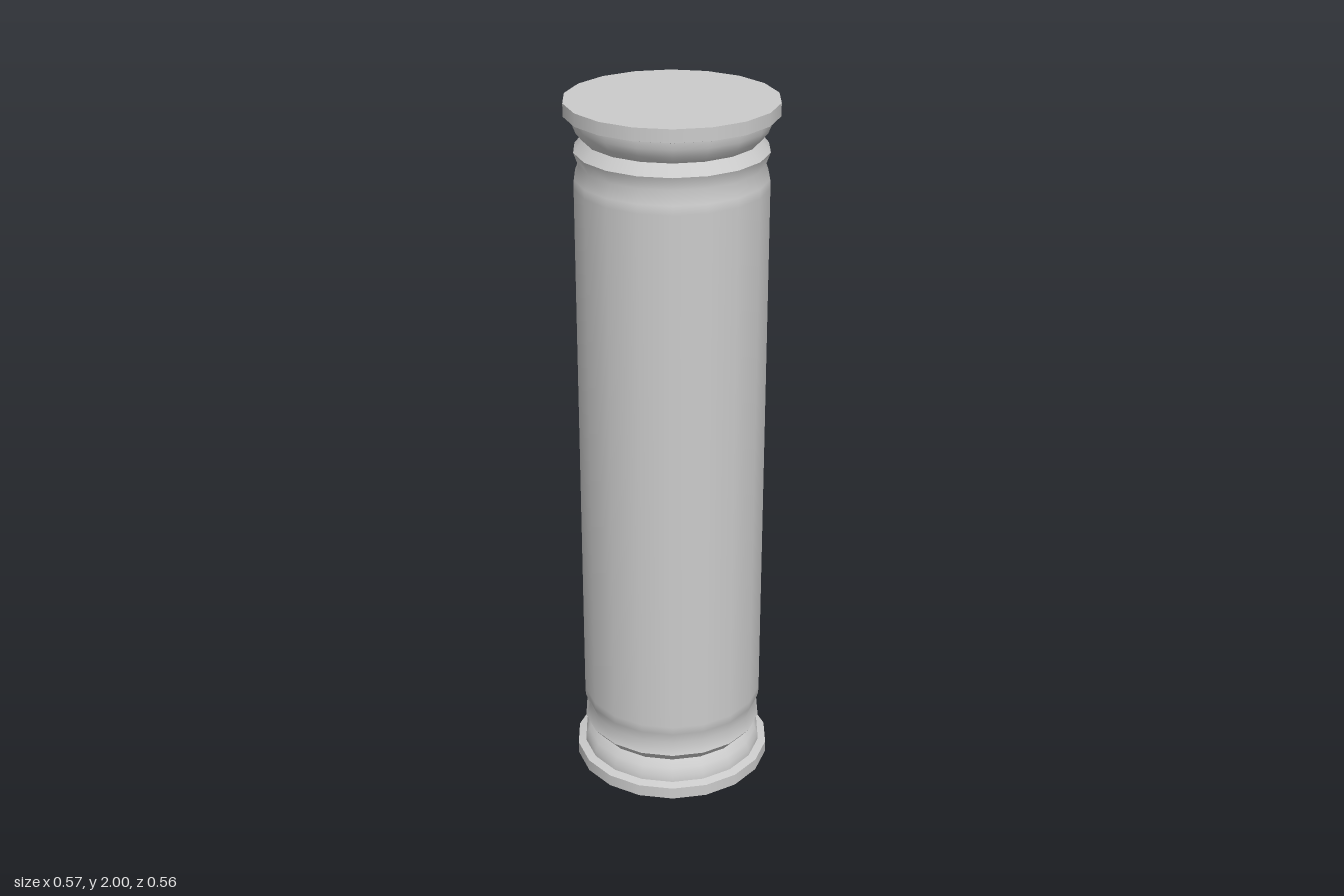
import * as THREE from 'three';

const SIDES = 18;
const START = THREE.MathUtils.degToRad(8);
const material = new THREE.MeshStandardMaterial({ color: 0xcccccc });

// One smooth-shaded turned band; profile is [radius, height], bottom to top.
function band(name, profile) {
  const points = profile.map(([r, y]) => new THREE.Vector2(r, y));
  const mesh = new THREE.Mesh(new THREE.LatheGeometry(points, SIDES, START), material);
  mesh.name = name;
  return mesh;
}

// Bands of the base moulding; every break between bands is a sharp edge.
const MOULDING = {
  EndFace: [[0, 0], [0.285, 0]],
  PlinthRim: [[0.285, 0], [0.285, 0.035]],
  PlinthShoulder: [[0.285, 0.035], [0.262, 0.042]],
  Cove: [[0.262, 0.042], [0.261, 0.06], [0.252, 0.082], [0.235, 0.102]],
  RingUnderside: [[0.235, 0.102], [0.26, 0.132]],
};

// Mirror a profile to the other end of the column, keeping it bottom to top.
const mirror = (profile) => profile.map(([r, y]) => [r, 2 - y]).reverse();

export function createModel() {
  const column = new THREE.Group();
  column.name = 'column';

  // Base and matching capital
  const base = new THREE.Group();
  base.name = 'base';
  const capital = new THREE.Group();
  capital.name = 'capital';
  for (const [name, profile] of Object.entries(MOULDING)) {
    base.add(band('base' + name, profile));
    capital.add(band('capital' + name, mirror(profile)));
  }

  // Shaft with a soft groove near each end
  const groove = [[0.26, 0.132], [0.247, 0.168], [0.26, 0.205], [0.261, 0.23]];
  const shaft = band('shaft', [...groove, ...mirror(groove)]);

  column.add(base, shaft, capital);
  return column;
}
